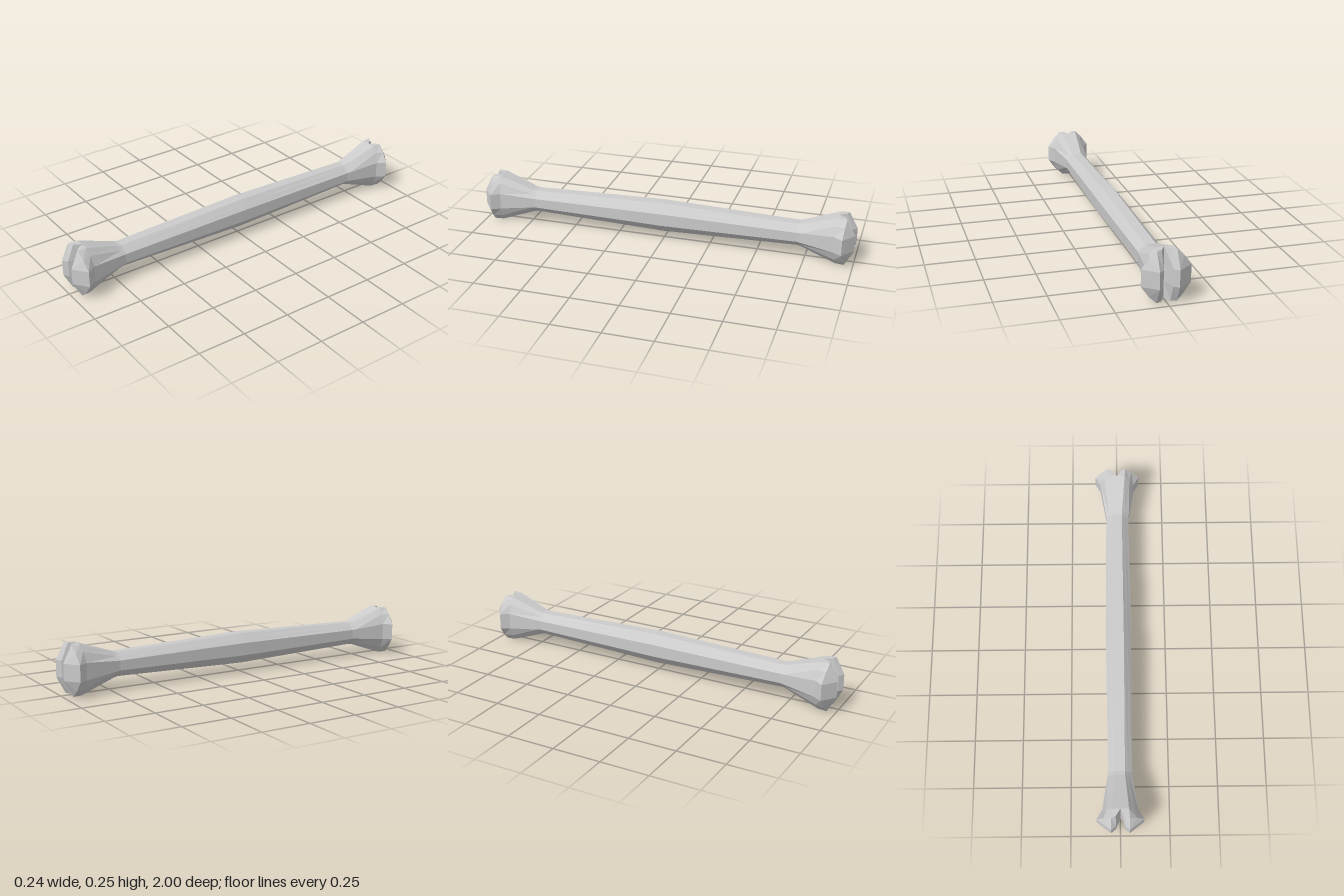
import * as THREE from 'three';

const CENTRE_Y = 0.127;

// Mirror a quarter outline (top middle round to the side) into a full ring of 18 points
function ring(quarter) {
  const flip = (list, sx, sy) => list.map(([x, y, z]) => new THREE.Vector3(x * sx, y * sy, z));
  const down = [...quarter].reverse();
  return [
    ...flip(quarter, 1, 1),
    ...flip(down, 1, -1),
    ...flip(quarter.slice(1), -1, -1),
    ...flip(down.slice(0, -1), -1, 1),
  ];
}

// Octagonal section with half width w and half height h
function octagon(w, h, z) {
  const f = 0.414;
  return ring([[0, h, z], [w * f * 0.5, h, z], [w * f, h, z], [w * 0.71, h * 0.71, z], [w, h * f, z]]);
}

function addTriangle(out, a, b, c) {
  const n = b.clone().sub(a).cross(c.clone().sub(a));
  if (n.length() < 1e-8) return; // skip collapsed corners
  for (const p of [a, b, c]) out.push(p.x, p.y, p.z);
}

function addQuad(out, a, b, c, d) {
  addTriangle(out, a, b, c);
  addTriangle(out, a, c, d);
}

// Skin rings that run from low z to high z
function loft(out, rings) {
  for (let r = 0; r < rings.length - 1; r++) {
    const lo = rings[r], hi = rings[r + 1], n = lo.length;
    for (let i = 0; i < n; i++) {
      const j = (i + 1) % n;
      addQuad(out, lo[i], hi[i], hi[j], lo[j]);
    }
  }
}

function toGeometry(out) {
  const geometry = new THREE.BufferGeometry();
  geometry.setAttribute('position', new THREE.Float32BufferAttribute(out, 3));
  geometry.computeVertexNormals();
  return geometry;
}

function shaftGeometry() {
  const out = [];
  loft(out, [octagon(0.06, 0.06, -0.71), octagon(0.066, 0.079, 0), octagon(0.06, 0.06, 0.71)]);
  return toGeometry(out);
}

function knuckleGeometry() {
  const out = [];
  const flare = ring([[0, 0.126, 0.91], [0.02, 0.126, 0.91], [0.042, 0.126, 0.91], [0.068, 0.094, 0.905], [0.09, 0.043, 0.9]]);
  const rim = ring([[0, 0.126, 0.91], [0.023, 0.126, 0.945], [0.047, 0.126, 0.955], [0.082, 0.093, 0.95], [0.118, 0.042, 0.945]]);
  // The outer points meet at the crest of each knuckle
  const crest = [0.047, 0.042, 1];
  const face = ring([[0, 0.042, 0.91], [0.023, 0.042, 0.98], crest, crest, crest]);
  loft(out, [octagon(0.06, 0.06, 0.71), octagon(0.063, 0.064, 0.73), flare, rim, face]);

  // Upright strips across the crests and the groove between them
  const top = [16, 17, 0, 1, 2], bottom = [11, 10, 9, 8, 7];
  for (let i = 0; i < 4; i++) {
    addQuad(out, face[bottom[i]], face[bottom[i + 1]], face[top[i + 1]], face[top[i]]);
  }
  return toGeometry(out);
}

export function createModel() {
  const group = new THREE.Group();
  group.name = 'bone';
  const material = new THREE.MeshStandardMaterial({ color: 0xcccccc, flatShading: true });

  const add = (name, geometry, turn = 0) => {
    const mesh = new THREE.Mesh(geometry, material);
    mesh.name = name;
    mesh.position.y = CENTRE_Y;
    mesh.rotation.y = turn;
    group.add(mesh);
  };

  add('shaft', shaftGeometry());
  const knuckle = knuckleGeometry();
  add('frontKnuckles', knuckle);
  add('backKnuckles', knuckle, Math.PI);
  return group;
}
